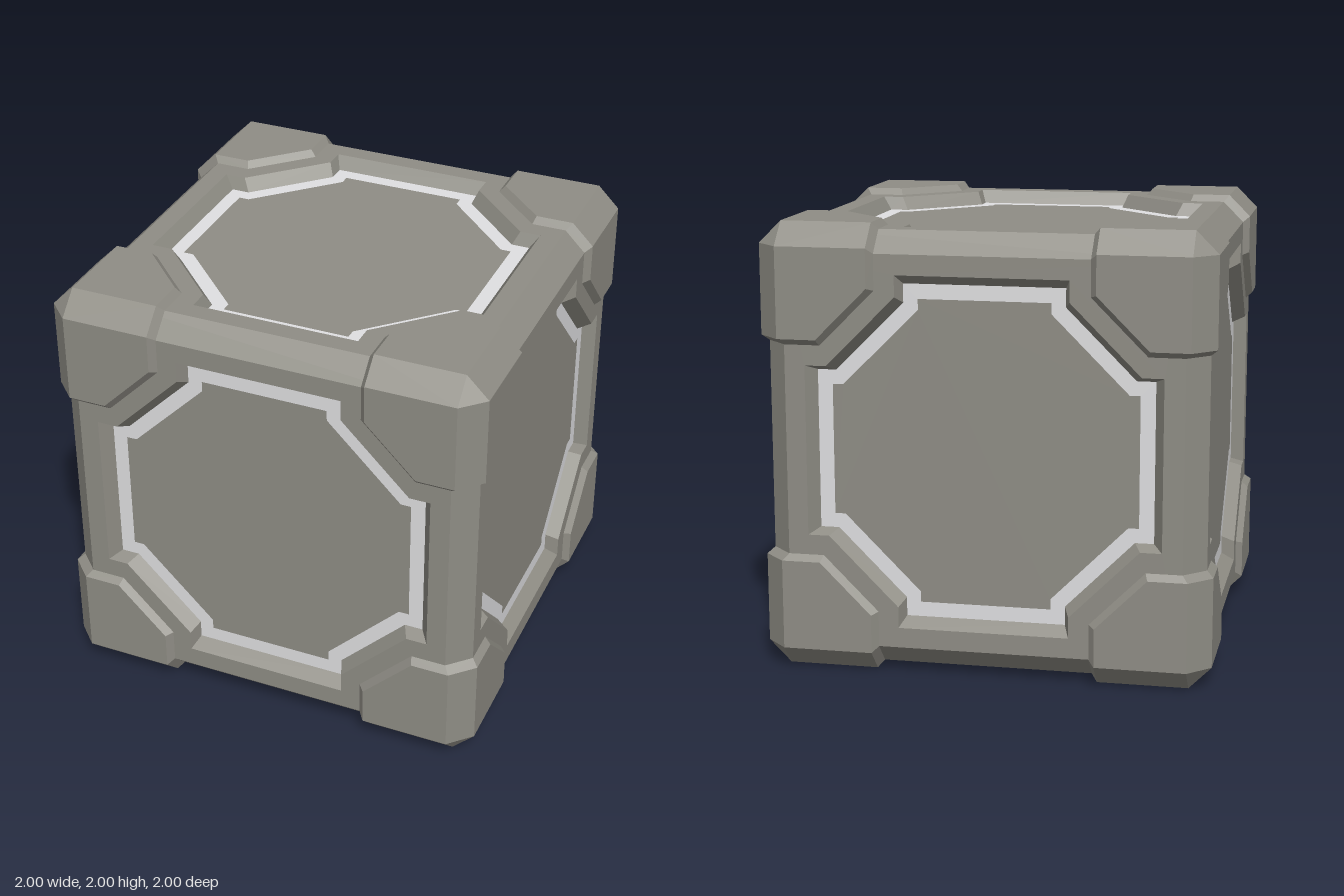
import * as THREE from 'three';
import { ConvexGeometry } from 'three/addons/geometries/ConvexGeometry.js';

const FACE = 0.97, FLAT = 0.875, FLOOR = 0.91;

// Notched octagon, mirrored from the four points of one quadrant (counter-clockwise)
function octagon(a, b, c) {
  const quarter = [[a, b], [b, c], [c, b], [b, a]];
  quarter[0] = [a, b]; // end of the straight side
  quarter[1] = [c, b]; // bottom of the side notch
  quarter[2] = [b, c]; // bottom of the top notch
  quarter[3] = [b, a];
  const points = [];
  for (let i = 0; i < 4; i++) {
    for (const [x, y] of quarter) {
      points.push(new THREE.Vector2(x, y).rotateAround(new THREE.Vector2(), i * Math.PI / 2));
    }
  }
  return points;
}

const OUTER = octagon(0.785, 0.38, 0.69);
const INNER = octagon(0.743, 0.355, 0.66);
const PANEL = octagon(0.677, 0.291, 0.63);

function plate(outline, hole, z) {
  const shape = new THREE.Shape(outline);
  if (hole) shape.holes.push(new THREE.Path(hole));
  return new THREE.ShapeGeometry(shape).translate(0, 0, z);
}

// Sloping wall between the face opening and the recess floor
function recessWall() {
  const pos = [];
  OUTER.forEach((p, i) => {
    const j = (i + 1) % OUTER.length;
    const a = [p.x, p.y, FACE], b = [OUTER[j].x, OUTER[j].y, FACE];
    const c = [INNER[j].x, INNER[j].y, FLOOR], d = [INNER[i].x, INNER[i].y, FLOOR];
    pos.push(...a, ...b, ...c, ...a, ...c, ...d);
  });
  const g = new THREE.BufferGeometry();
  g.setAttribute('position', new THREE.Float32BufferAttribute(pos, 3));
  g.computeVertexNormals();
  return g;
}

// Chamfered guard wrapped around one cube corner
function cornerGuard(sx, sy, sz) {
  const profile = [
    [0.9, 0.9, 1], [0.497, 0.9, 1], [0.497, 0.727, 1], [0.727, 0.497, 1], [0.9, 0.497, 1],
    [0.47, FLAT, FACE], [0.47, 0.716, FACE], [0.716, 0.47, FACE], [FLAT, 0.47, FACE],
  ];
  const points = [];
  for (const [x, y, z] of profile) {
    for (const [u, v, w] of [[x, y, z], [y, z, x], [z, x, y]]) {
      points.push(new THREE.Vector3(u * sx, v * sy, w * sz));
    }
  }
  return new ConvexGeometry(points);
}

export function createModel() {
  const metal = new THREE.MeshStandardMaterial({ color: 0x8f8d85 });
  metal.name = 'warm grey metal';
  const trim = new THREE.MeshStandardMaterial({ color: 0xe0e0e2 });
  trim.name = 'pale trim';

  const model = new THREE.Group();
  model.name = 'crate';
  const body = new THREE.Group();
  body.name = 'body';
  body.position.y = 1;
  model.add(body);

  const add = (parent, name, geometry, material) => {
    const mesh = new THREE.Mesh(geometry, material);
    mesh.name = name;
    parent.add(mesh);
    return mesh;
  };

  const square = [[-1, -1], [1, -1], [1, 1], [-1, 1]]
    .map(([x, y]) => new THREE.Vector2(x * FLAT, y * FLAT));

  // Five recessed sides
  const sides = {
    front: [0, 0], left: [0, Math.PI / 2], back: [0, Math.PI],
    right: [0, -Math.PI / 2], top: [-Math.PI / 2, 0],
  };
  const frameGeo = plate(square, OUTER, FACE);
  const wallGeo = recessWall();
  const trimGeo = plate(INNER, PANEL, FLOOR);
  const panelGeo = plate(PANEL, null, FLOOR);
  for (const [name, [rx, ry]] of Object.entries(sides)) {
    const side = new THREE.Group();
    side.name = name + 'Side';
    side.rotation.set(rx, ry, 0);
    body.add(side);
    add(side, 'frame', frameGeo, metal);
    add(side, 'recessWall', wallGeo, metal);
    add(side, 'trimRing', trimGeo, trim);
    add(side, 'panel', panelGeo, metal);
  }

  // Plain underside
  add(body, 'underside', plate(square, null, FACE), metal).rotation.x = Math.PI / 2;

  // Twelve chamfered edges, four around each axis
  const mid = (FACE + FLAT) / 2;
  const chamfer = new THREE.PlaneGeometry((FACE - FLAT) * Math.SQRT2, FLAT * 2)
    .rotateY(Math.PI / 4).translate(mid, 0, mid);
  for (const [rx, rz] of [[0, 0], [Math.PI / 2, 0], [0, Math.PI / 2]]) {
    const edges = new THREE.Group();
    edges.name = 'edgeChamfers';
    edges.rotation.set(rx, 0, rz);
    body.add(edges);
    for (let i = 0; i < 4; i++) add(edges, 'edgeChamfer', chamfer, metal).rotation.y = i * Math.PI / 2;
  }

  // Eight corner guards
  for (const x of [-1, 1]) for (const y of [-1, 1]) for (const z of [-1, 1]) {
    add(body, 'cornerGuard', cornerGuard(x, y, z), metal);
  }
  return model;
}
